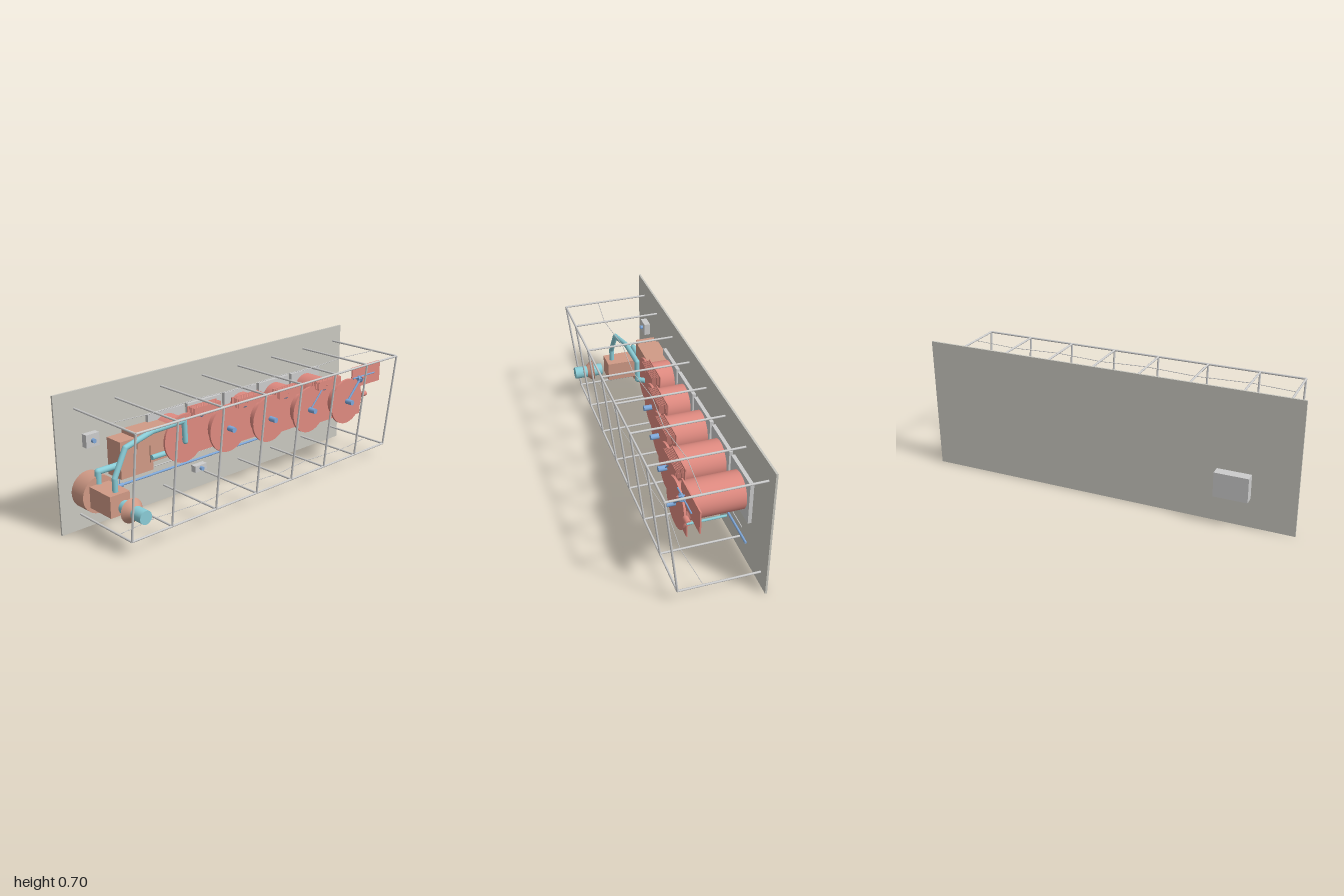
import * as THREE from 'three';

const material = (color) => new THREE.MeshStandardMaterial({ color });
const V = (p) => new THREE.Vector3(...p);

export function createModel() {
  const model = new THREE.Group();
  const grey = material(0xcccccc), stone = material(0xc9c8c0), red = material(0xdf8a80);
  const clay = material(0xd09a86), teal = material(0x8accd6), blue = material(0x7fa8da);

  const add = (name, geometry, mat, parent = model) => {
    const mesh = new THREE.Mesh(geometry, mat);
    mesh.name = name;
    parent.add(mesh);
    return mesh;
  };
  // box given by its low and high corners
  const box = (name, mat, lo, hi, parent) => {
    const m = add(name, new THREE.BoxGeometry(hi[0] - lo[0], hi[1] - lo[1], hi[2] - lo[2]), mat, parent);
    m.position.set((lo[0] + hi[0]) / 2, (lo[1] + hi[1]) / 2, (lo[2] + hi[2]) / 2);
    return m;
  };
  // round bar from a to b, optionally tapering
  const rod = (name, mat, a, b, r, parent, r2 = r, sides = 16) => {
    const from = V(a), dir = V(b).sub(from);
    const m = add(name, new THREE.CylinderGeometry(r2, r, dir.length(), sides), mat, parent);
    m.position.copy(from).addScaledVector(dir, 0.5);
    m.quaternion.setFromUnitVectors(new THREE.Vector3(0, 1, 0), dir.normalize());
    return m;
  };
  // pipe with straight runs and ball joints at the bends
  const pipe = (name, mat, points, r) => {
    const g = new THREE.Group();
    g.name = name;
    model.add(g);
    for (let i = 0; i + 1 < points.length; i++) {
      rod('pipeRun', mat, points[i], points[i + 1], r, g);
      if (i > 0) add('pipeJoint', new THREE.SphereGeometry(r, 16, 10), mat, g).position.copy(V(points[i]));
    }
    return g;
  };

  // back wall and the box mounted behind it
  box('backPanel', stone, [-1, 0, -0.219], [1, 0.705, -0.209]);
  box('rearBox', grey, [-0.77, 0.157, -0.27], [-0.595, 0.286, -0.219]);

  // sloping cage
  const frameX = [-0.888, -0.652, -0.374, -0.096, 0.16, 0.417, 0.676, 0.934];
  const cage = new THREE.Group();
  cage.name = 'cage';
  model.add(cage);
  const topZ = 0.262, lowZ = 0.199, topY = 0.62, lowY = 0.08, t = 0.0055;
  frameX.forEach((x, i) => {
    rod('upperArm', grey, [x, topY, -0.209], [x, topY, topZ], t, cage);
    rod('lowerArm', grey, [x, lowY, -0.209], [x, lowY, lowZ], t, cage);
    rod('post', grey, [x, lowY, lowZ], [x, topY, topZ], t, cage);
    if (i === 0) return;
    const s = i % 2 ? 1 : -1, px = frameX[i - 1];
    rod('upperWire', grey, [px, topY, 0.085 - s * 0.012], [x, topY, 0.085 + s * 0.012], 0.0018, cage, 0.0018, 6);
    rod('lowerWire', grey, [px, lowY, 0.085 + s * 0.012], [x, lowY, 0.085 - s * 0.012], 0.0018, cage, 0.0018, 6);
  });
  rod('upperRail', grey, [frameX[0], topY, topZ], [frameX[7], topY, topZ], t, cage);
  rod('lowerRail', grey, [frameX[0], lowY, lowZ], [frameX[7], lowY, lowZ], t, cage);

  // row of drums, each longer than the last
  for (let i = 0; i < 5; i++) {
    const x = -0.358 + i * 0.259, y = 0.38, z = -0.053 + i * 0.0437;
    const unit = new THREE.Group();
    unit.name = 'drumUnit';
    model.add(unit);
    box('mountPlate', grey, [x - 0.118, 0.265, -0.209], [x + 0.118, 0.494, -0.19], unit);
    rod('drum', red, [x, y, -0.19], [x, y, z], 0.0945, unit, 0.0945, 48);
    rod('drumDisc', red, [x, y, z - 0.006], [x, y, z + 0.006], 0.128, unit, 0.128, 48);
    if (i > 0) rod('hub', blue, [x, y, z], [x, y, z + 0.049], 0.0145, unit, 0.0145, 24);

    // plate and cooling fins reaching to the next drum
    const gx = x + 0.13;
    if (i < 4) {
      box('sidePlate', red, [gx - 0.096, 0.277, z - 0.014], [gx + 0.096, 0.533, z - 0.009], unit);
      for (let k = 0; k < 7; k++) {
        const fz = z - 0.004 + k * 0.006;
        box('fin', red, [gx - 0.09, 0.484, fz], [gx + 0.09, 0.532, fz + 0.0025], unit);
      }
    } else {
      box('sidePlate', red, [x, 0.277, z - 0.011], [x + 0.131, 0.5, z - 0.006], unit);
      box('endPlate', red, [x + 0.052, 0.44, z - 0.011], [x + 0.297, 0.56, z - 0.004], unit);
    }

    // valve with its bent tube
    const vx = x + 0.104, vz = z + 0.01;
    const elbow = add('valveElbow', new THREE.TorusGeometry(0.014, 0.007, 10, 16, Math.PI), blue, unit);
    elbow.position.set(vx, 0.49, vz);
    elbow.rotation.set(Math.PI, Math.PI / 2, 0);
    rod('valveBody', blue, [vx - 0.02, 0.494, vz], [vx + 0.02, 0.494, vz], 0.011, unit);
    rod('valveRod', blue, [vx - 0.06, 0.503, vz], [vx + (i === 4 ? 0.125 : 0.04), 0.503, vz], 0.004, unit);
    rod('valveStem', blue, [vx, 0.503, vz - 0.03], [vx, 0.503, vz + 0.018], 0.004, unit);
    rod('valveTip', red, [vx, 0.503, vz + 0.018], [vx, 0.503, vz + 0.027], 0.007, unit, 0.002);
    if (i > 2) rod('feedTube', blue, [x, y, z + 0.012], [vx, 0.49, z + 0.012], i === 4 ? 0.006 : 0.004, unit);
  }
  rod('sideTube', teal, [0.845, 0.39, -0.06], [0.845, 0.39, 0.13], 0.006);
  rod('sideKnob', red, [0.805, 0.39, 0.122], [0.845, 0.39, 0.122], 0.015, model, 0.015, 12);

  // blower with its housing, cone and nozzle
  const bx = -0.837, by = 0.2;
  rod('blowerDrum', clay, [bx, by, -0.209], [bx, by, -0.114], 0.095, model, 0.095, 40);
  box('blowerHousing', clay, [bx - 0.056, 0.146, -0.114], [bx + 0.056, 0.255, 0.051]);
  rod('nozzle', teal, [bx, by, 0.082], [bx, by, 0.244], 0.034, model, 0.034, 32);
  rod('nozzleCone', clay, [bx, by, 0.137], [bx, by, 0.172], 0.062, model, 0.034, 32);

  // filter boxes
  box('filterBox', clay, [-0.715, 0.241, -0.209], [-0.52, 0.434, -0.102]);
  box('upperDuct', clay, [-0.625, 0.38, -0.209], [-0.4, 0.455, -0.085]);
  box('lowerDuct', clay, [-0.54, 0.285, -0.209], [-0.43, 0.38, -0.095]);

  // main pipes
  pipe('mainPipe', teal, [[bx, 0.25, 0.015], [bx, 0.32, 0.015], [-0.765, 0.452, 0.008],
    [-0.59, 0.485, -0.01], [-0.39, 0.49, -0.012], [-0.385, 0.38, -0.012], [-0.358, 0.38, -0.05]], 0.014);
  pipe('inletPipe', teal, [[bx, 0.25, -0.12], [bx, 0.315, -0.12], [-0.7, 0.315, -0.12]], 0.016);
  rod('linkPipe', teal, [-0.54, 0.315, -0.085], [-0.44, 0.315, -0.085], 0.013);

  // long thin lines along the wall
  rod('longLine', blue, [-0.75, 0.18, -0.172], [0.83, 0.18, -0.172], 0.006);
  rod('lineCollar', blue, [-0.75, 0.18, -0.17], [-0.66, 0.18, -0.17], 0.01);
  rod('upperLine', grey, [-0.75, 0.217, -0.178], [0.76, 0.217, -0.178], 0.0025);
  pipe('dropTube', blue, [[-0.68, 0.285, -0.145], [-0.68, 0.247, -0.145],
    [-0.68, 0.247, -0.17], [-0.68, 0.18, -0.17]], 0.003);

  // small control boxes with knobs
  for (const [x, y, w, h] of [[-0.817, 0.453, 0.075, 0.066], [-0.692, 0.108, 0.075, 0.034], [-0.145, 0.12, 0.08, 0.036]]) {
    box('controlBox', grey, [x - w / 2, y - h / 2, -0.209], [x + w / 2, y + h / 2, -0.175]);
    rod('controlKnob', blue, [x, y, -0.175], [x, y, -0.159], 0.011);
  }
  return model;
}
